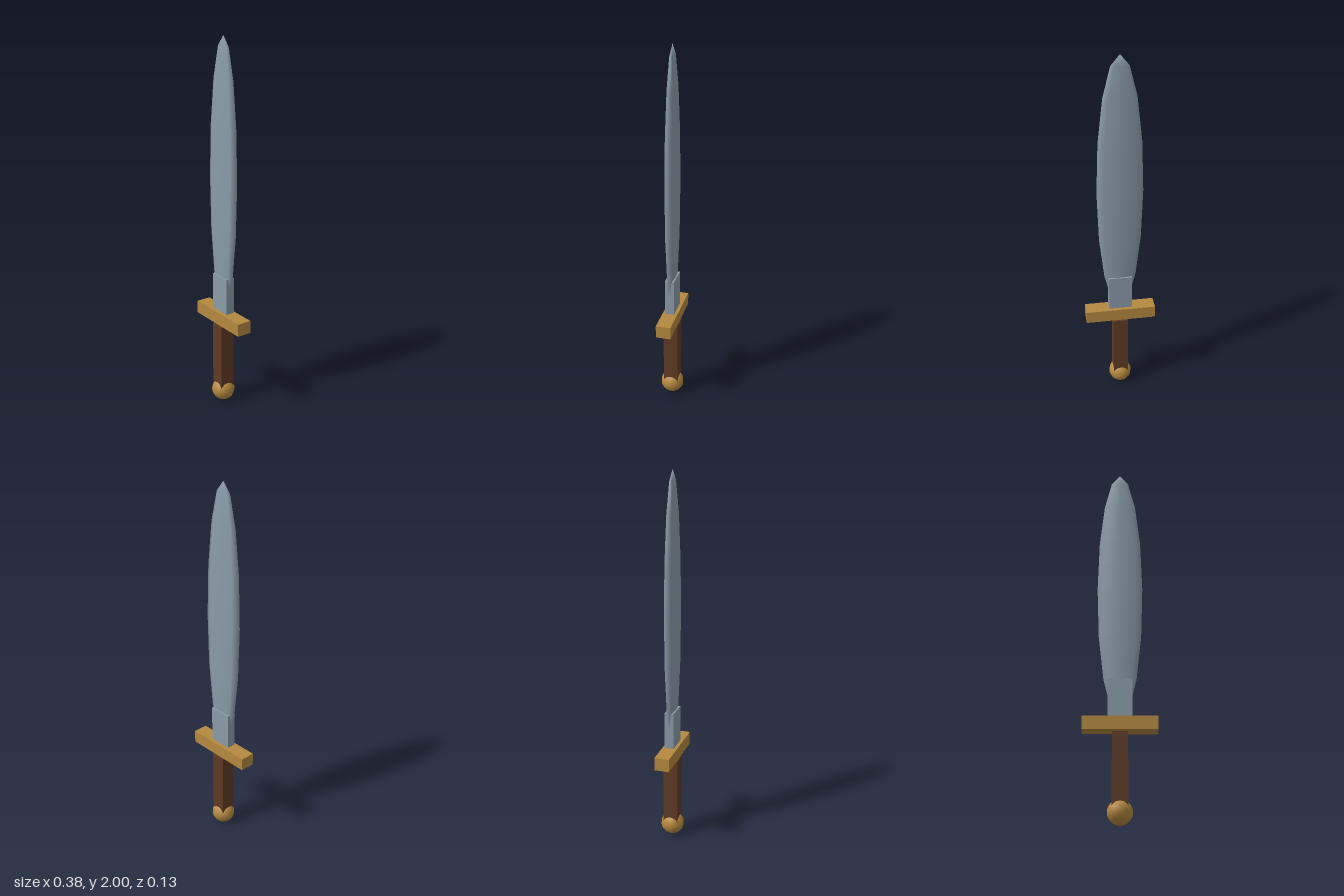
import * as THREE from 'three';

const steel = new THREE.MeshStandardMaterial({ color: 0x8a9ba8 });
const brass = new THREE.MeshStandardMaterial({ color: 0xb5893f });
const leather = new THREE.MeshStandardMaterial({ color: 0x5f3a24 });

export function createModel() {
  const sword = new THREE.Group();
  sword.name = 'sword';

  function add(name, geometry, material, y) {
    const mesh = new THREE.Mesh(geometry, material);
    mesh.name = name;
    mesh.position.y = y;
    sword.add(mesh);
  }

  // Leaf-shaped blade: a coarse sphere stretched tall and flattened
  add('blade', new THREE.SphereGeometry(1, 8, 8).scale(0.12, 0.735, 0.027), steel, 1.265);

  // Square shoulder joining the blade to the guard
  add('bladeBase', new THREE.BoxGeometry(0.125, 0.2, 0.05), steel, 0.64);

  // Hilt
  add('crossGuard', new THREE.BoxGeometry(0.38, 0.07, 0.08), brass, 0.501);
  add('grip', new THREE.BoxGeometry(0.08, 0.38, 0.08), leather, 0.267);
  add('pommel', new THREE.SphereGeometry(0.063, 12, 12), brass, 0.063);

  return sword;
}
